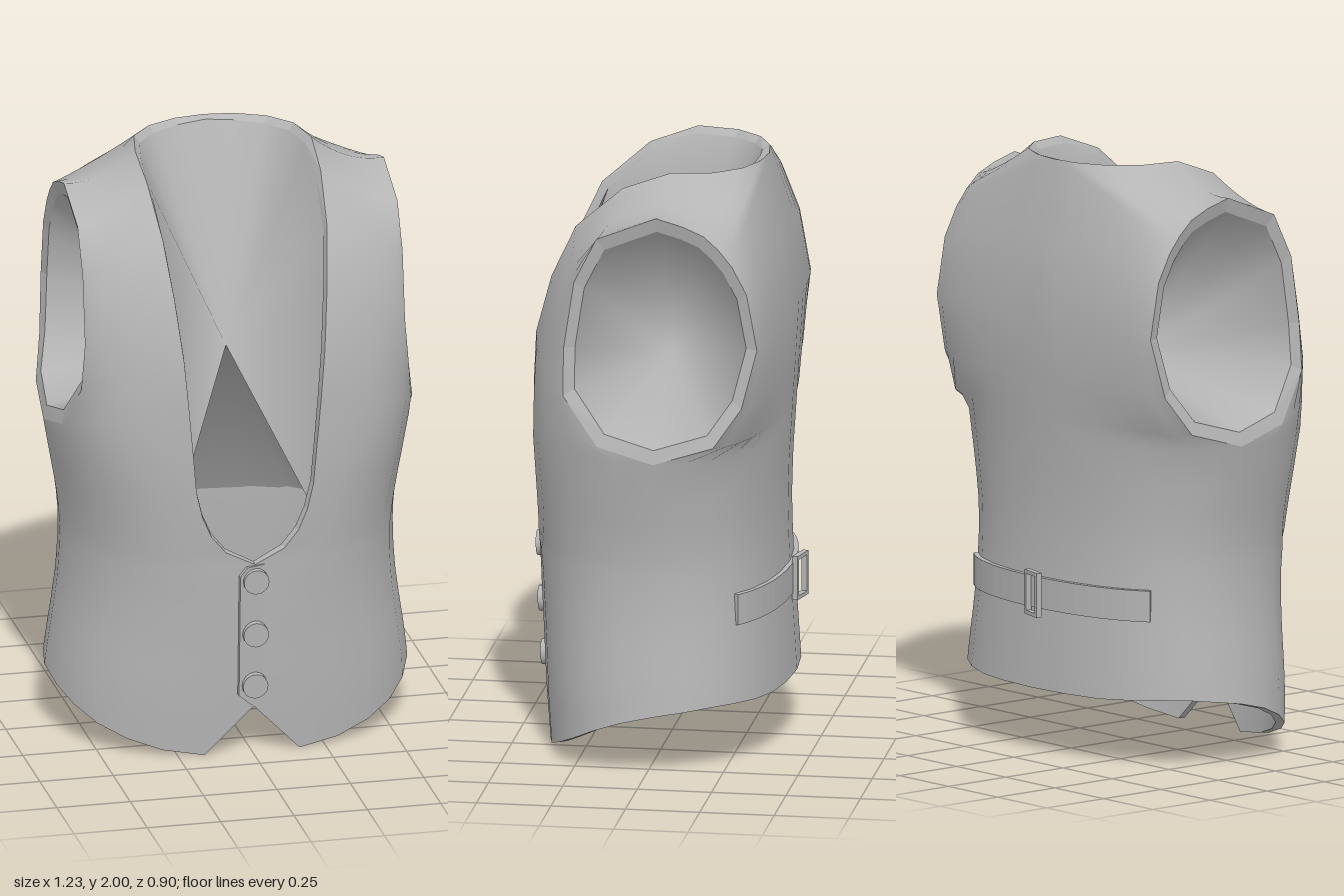
import * as THREE from 'three';
import { mergeVertices, mergeGeometries } from 'three/addons/utils/BufferGeometryUtils.js';

const V = (x, y, z) => new THREE.Vector3(x, y, z);
const M = 7; // columns per quarter
const THICK = 0.03;

// piecewise linear lookup
function lookup(table, y) {
  if (y <= table[0][0]) return table[0][1];
  for (let i = 1; i < table.length; i++) {
    const [y0, a] = table[i - 1], [y1, b] = table[i];
    if (y <= y1) return a + (b - a) * (y - y0) / (y1 - y0);
  }
  return table[table.length - 1][1];
}
const sideX = y => lookup([[0, 0.62], [0.2, 0.613], [0.3, 0.6], [0.4, 0.584], [0.5, 0.57], [0.6, 0.562], [0.68, 0.56],
  [0.75, 0.562], [0.82, 0.57], [0.9, 0.583], [1, 0.602], [1.08, 0.615]], y);
const frontZ = y => lookup([[0, 0.395], [0.2, 0.41], [0.5, 0.425], [0.7, 0.43], [1.08, 0.43]], y);
const backZ = y => lookup([[0.2, -0.42], [0.45, -0.405], [0.65, -0.392], [0.8, -0.388], [0.95, -0.392], [1.08, -0.4]], y);
const armX = y => 0.545 + 0.07 * Math.max(0, (1.45 - y) / 0.37) ** 2;
// half width of the flat part of the front
const flatX = y => lookup([[0.45, 0], [0.6, 0.025], [0.75, 0.08], [0.9, 0.145], [1.08, 0.21]], y);

// curved section from an inner edge point n to an outer edge point a
function section(n, a, k, sag, t) {
  const c = n.clone().add(a).multiplyScalar(0.5);
  c.x += k * (a.x - c.x);
  c.z += k * (n.z - c.z);
  c.y -= sag;
  return new THREE.QuadraticBezierCurve3(n, c, a).getPoint(t);
}
function frontPoint(t, y, xn) {
  const b = flatX(y), a = sideX(y), slope = 1.96 * (a - b), u0 = (xn - b) / slope;
  const u = u0 + (1 - u0) * t;
  return u < 0 ? V(b + slope * u, y, frontZ(y)) : section(V(b, y, frontZ(y)), V(a, y, -0.03), 0.96, 0, u);
}
const backPoint = (t, y) => section(V(0, y, backZ(y)), V(sideX(y), y, -0.03), 0.94, 0, t);

// neckline / centre back (x, y, z), armhole (y, z), bulge, sag
const STRIP = [
  [0.21, 1.08, 0.43, 1.08, -0.03, 0.96, 0],
  [0.225, 1.25, 0.43, 1.13, 0.16, 0.75, 0],
  [0.24, 1.42, 0.42, 1.29, 0.28, 0.5, 0],
  [0.26, 1.62, 0.365, 1.45, 0.28, 0.5, 0],
  [0.28, 1.8, 0.28, 1.68, 0.245, 0.4, 0],
  [0.295, 1.94, 0.12, 1.83, 0.17, 0.2, 0.04],
  [0.3, 2, -0.04, 1.91, -0.03, 0, 0.06],
  [0.272, 2, -0.18, 1.885, -0.12, 0, 0.06],
  [0.2, 2, -0.265, 1.855, -0.19, 0.2, 0.04],
  [0.1, 2, -0.312, 1.81, -0.24, 0.4, 0.02],
  [0, 2, -0.325, 1.755, -0.285, 0.5, 0],
  [0, 1.75, -0.385, 1.66, -0.335, 0.6, 0],
  [0, 1.5, -0.425, 1.47, -0.37, 0.6, 0],
  [0, 1.27, -0.412, 1.27, -0.32, 0.65, 0],
  [0, 1.15, -0.404, 1.14, -0.23, 0.8, 0],
  [0, 1.08, -0.4, 1.08, -0.03, 0.94, 0],
];
const NECK_LOW = [[0.73, 0.1], [0.79, 0.15], [0.86, 0.18], [0.95, 0.2], [1.08, 0.21]];
const HEM = [0.17, 0, 0.02, 0.055, 0.095, 0.14, 0.18, 0.21, 0.225, 0.235, 0.235, 0.23, 0.225, 0.225, 0.225];

function makeGeometry(pos, index) {
  const g = new THREE.BufferGeometry();
  g.setAttribute('position', new THREE.Float32BufferAttribute(pos, 3));
  g.setIndex(index);
  return g;
}
function gridFaces(rows) {
  const index = [], w = rows[0].length;
  for (let i = 0; i < rows.length - 1; i++) for (let j = 0; j < w - 1; j++) {
    const a = i * w + j, b = a + 1, c = a + w, d = c + 1;
    index.push(a, b, d, a, d, c);
  }
  return makeGeometry(rows.flat().flatMap(p => p.toArray()), index);
}
function mirrored(g) {
  const m = g.clone();
  m.scale(-1, 1, 1);
  if (m.index) {
    const a = m.index.array;
    for (let i = 0; i < a.length; i += 3) [a[i], a[i + 1]] = [a[i + 1], a[i]];
  }
  return m;
}
// smooth normals that stay continuous over the centre seam
function smooth(g) {
  g.computeVertexNormals();
  const p = g.attributes.position, n = g.attributes.normal;
  for (let i = 0; i < p.count; i++) if (Math.abs(p.getX(i)) < 1e-4) {
    const v = V(0, n.getY(i), n.getZ(i)).normalize();
    n.setXYZ(i, v.x, v.y, v.z);
  }
  return g;
}
// sheet from a chain of point pairs to the middle of the body
function fan(pairs) {
  const pos = pairs.flatMap(([a, b]) => [a, b, V(0, 1.3, 0)].flatMap(p => p.toArray()));
  return smooth(mergeVertices(makeGeometry(pos, null), 1e-4));
}
const chain = pts => pts.slice(1).map((p, i) => [pts[i], p]);

function buildHalf() {
  // lower body, hem to armpit
  const ring = (y, x) => Array.from({ length: 2 * M + 1 }, (_, j) => {
    const h = y(j);
    return j <= M ? frontPoint(j / M, h, x) : backPoint((2 * M - j) / M, h);
  });
  const rows = [], steps = 8;
  for (let i = 0; i <= steps; i++) rows.push(ring(j => HEM[j] + (0.68 - HEM[j]) * i / steps, 0));
  for (const [y, x] of NECK_LOW) rows.push(ring(() => y, x));
  // chest, shoulder and upper back, wrapped around the armhole
  const upper = STRIP.map(([x, y, z, ay, az, k, sag]) => Array.from({ length: M + 1 },
    (_, j) => section(V(x, y, z), V(armX(ay), ay, az), k, sag, j / M)));
  const outer = smooth(mergeVertices(mergeGeometries([gridFaces(rows), gridFaces(upper)]), 1e-4));

  // open edges, without the centre seam
  const P = outer.attributes.position, N = outer.attributes.normal, idx = outer.index.array;
  const pt = i => V().fromBufferAttribute(P, i);
  const used = new Set(), edges = [];
  for (let i = 0; i < idx.length; i += 3) for (let e = 0; e < 3; e++) used.add(idx[i + e] + '_' + idx[i + (e + 1) % 3]);
  for (const key of used) {
    const [a, b] = key.split('_').map(Number);
    if (!used.has(b + '_' + a) && (P.getX(a) > 1e-3 || P.getX(b) > 1e-3)) edges.push([a, b]);
  }
  const isArm = i => P.getX(i) > 0.5 && P.getY(i) > 1;
  const armEdges = edges.filter(([a, b]) => isArm(a) && isArm(b));
  const armSet = new Set(armEdges.flat());

  // lining
  const inner = [];
  for (let i = 0; i < P.count; i++) {
    const p = pt(i);
    if (armSet.has(i)) p.set(p.x - 0.012, 1.49 + (p.y - 1.49) * 0.885, -0.04 + (p.z + 0.04) * 0.885);
    else p.addScaledVector(V().fromBufferAttribute(N, i), -THICK);
    inner.push(p);
  }
  const flip = [];
  for (let i = 0; i < idx.length; i += 3) flip.push(idx[i], idx[i + 2], idx[i + 1]);
  const lining = smooth(makeGeometry(inner.flatMap(p => p.toArray()), flip));

  // edge binding
  const rim = edges.flatMap(([a, b]) => [pt(b), pt(a), inner[a], pt(b), inner[a], inner[b]].flatMap(p => p.toArray()));
  const edgeBinding = makeGeometry(rim, null);
  edgeBinding.computeVertexNormals();

  // waist sheet: back and sides, open in front
  const waist = [];
  for (let i = 0; i <= 6; i++) waist.push(backPoint(i / 6, 0.64));
  for (const t of [0.8, 0.6, 0.45, 0.36]) waist.push(frontPoint(t, 0.64, 0));
  waist.forEach(p => p.multiply(V(0.95, 1, 0.945)));

  // neck sheet: collar, then down behind the front panel
  const neckPairs = edges.filter(([a, b]) => !armSet.has(a) && P.getY(a) > 1.78 && P.getY(b) > 1.78)
    .map(([a, b]) => [inner[a], inner[b]]);
  const low = neckPairs.flat().reduce((m, p) => (p.y < m.y ? p : m));
  neckPairs.push(...chain([low, V(0.29, 1.6, 0.325), V(0.315, 1.1, 0.36), waist[waist.length - 1]]));

  return {
    shell: outer, lining, edgeBinding,
    armholeSheet: fan(armEdges.map(([a, b]) => [inner[a], inner[b]])),
    neckSheet: fan(neckPairs),
    waistSheet: fan(chain(waist)),
  };
}

export function createModel() {
  const vest = new THREE.Group();
  vest.name = 'vest';
  const cloth = new THREE.MeshStandardMaterial({ color: 0xb5b5b5, side: THREE.DoubleSide });
  cloth.name = 'grey cloth';
  const add = (g, name) => {
    const m = new THREE.Mesh(g, cloth);
    m.name = name;
    vest.add(m);
    return m;
  };

  for (const [name, g] of Object.entries(buildHalf())) {
    add(g, name + 'Left');
    add(mirrored(g), name + 'Right');
  }

  // front overlap, its inner edge sunk into the panel, and the layer under it
  const flap = new THREE.Shape([[0.03, 0.2], [0.03, 0.68], [-0.03, 0.675], [-0.055, 0.645], [-0.055, 0.215], [-0.01, 0.175]]
    .map(([x, y]) => new THREE.Vector2(x, y - 0.43)));
  const placket = add(new THREE.ExtrudeGeometry(flap, { depth: 0.014, bevelEnabled: false }), 'frontOverlap');
  placket.position.set(0, 0.43, 0.41);
  placket.rotation.set(0.05, 0.13, 0);
  const under = add(new THREE.BoxGeometry(0.11, 0.46, 0.014), 'frontUnderlap');
  under.position.set(-0.005, 0.44, 0.389);
  under.rotation.x = 0.05;

  // buttons
  for (const y of [0.625, 0.435, 0.25]) {
    const b = add(new THREE.CylinderGeometry(0.043, 0.043, 0.03, 16), 'button');
    b.rotation.x = Math.PI / 2 + 0.05;
    b.position.set(0, y, frontZ(y) + 0.01);
  }

  // back strap that follows the waist
  const curve = off => {
    const pts = [];
    for (let i = -9; i <= 9; i++) {
      const t = Math.abs(i) / 9 * 0.55, p = backPoint(t, 0.55), q = backPoint(t + 0.01, 0.55);
      const d = new THREE.Vector2(q.z - p.z, -(q.x - p.x)).normalize();
      pts.push(new THREE.Vector2(Math.sign(i) * (p.x + d.x * off), -(p.z + d.y * off)));
    }
    return pts;
  };
  const band = new THREE.Shape([...curve(0.012), ...curve(-0.012).reverse()]);
  const strap = add(new THREE.ExtrudeGeometry(band, { depth: 0.105, bevelEnabled: false }), 'backStrap');
  strap.rotation.x = -Math.PI / 2;
  strap.position.y = 0.495;

  // buckle frame
  const rect = (w, h) => [[-w, -h], [w, -h], [w, h], [-w, h]].map(([x, y]) => new THREE.Vector2(x, y));
  const frame = new THREE.Shape(rect(0.045, 0.075));
  frame.holes.push(new THREE.Path(rect(0.033, 0.062)));
  const buckle = add(new THREE.ExtrudeGeometry(frame, { depth: 0.02, bevelEnabled: false }), 'buckle');
  buckle.position.set(-0.01, 0.547, -0.437);
  buckle.rotation.y = -0.25;
  return vest;
}
